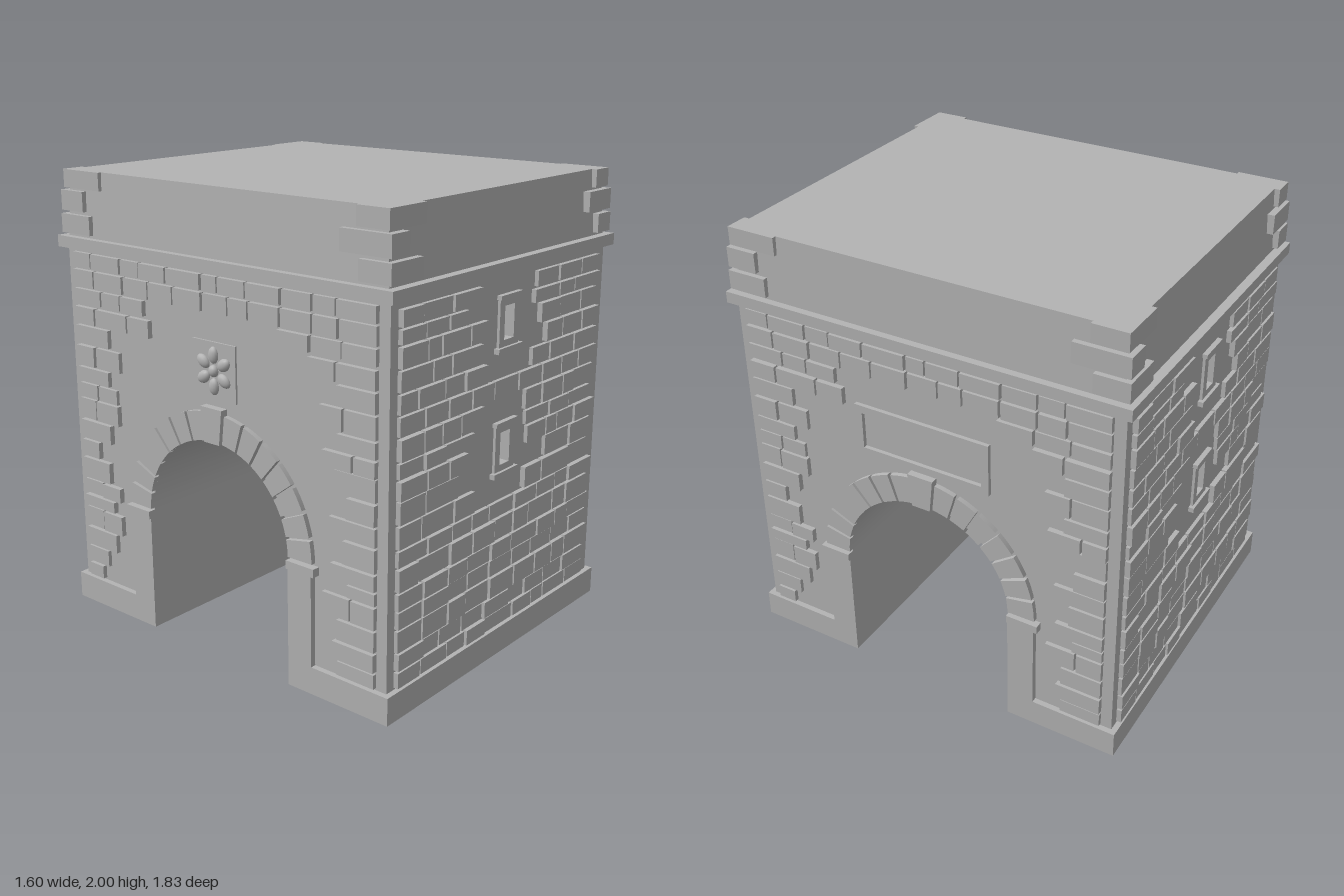
import * as THREE from 'three';
import { mergeGeometries } from 'three/addons/utils/BufferGeometryUtils.js';

const stone = new THREE.MeshStandardMaterial({ color: 0xb3b3b3 });
stone.name = 'grey stone';

const WX = 0.765, WZ = 0.885;          // half sizes of the walls
const R = 0.4, SPRING = 0.56;          // passage radius and spring line

let seed = 7;
const rand = () => (seed = (seed * 16807) % 2147483647) / 2147483647;

// box from its corner ranges
function slab(x0, x1, y0, y1, z0, z1) {
  return new THREE.BoxGeometry(x1 - x0, y1 - y0, z1 - z0)
    .translate((x0 + x1) / 2, (y0 + y1) / 2, (z0 + z1) / 2);
}

function add(parent, name, geos) {
  const mesh = new THREE.Mesh(Array.isArray(geos) ? mergeGeometries(geos) : geos, stone);
  mesh.name = name;
  parent.add(mesh);
  return mesh;
}

function rectPath(Kind, x0, x1, y0, y1) {
  const p = new Kind();
  p.moveTo(x0, y0).lineTo(x1, y0).lineTo(x1, y1).lineTo(x0, y1).closePath();
  return p;
}

function extrude(shape, depth, z) {
  return new THREE.ExtrudeGeometry(shape, { depth, bevelEnabled: false, curveSegments: 40 }).translate(0, 0, z);
}

// rectangular frame with an open middle
function frame(x0, x1, y0, y1, ix, iy0, iy1, z0, z1) {
  const s = rectPath(THREE.Shape, x0, x1, y0, y1);
  s.holes.push(rectPath(THREE.Path, -ix, ix, iy0, iy1));
  return extrude(s, z1 - z0, z0);
}

// a run of stones between a and b in one course
function course(list, a, b, y0, y1, wall) {
  const n = Math.max(1, Math.round((b - a) / 0.155));
  const w = (b - a) / n;
  let x = a;
  for (let i = 1; i <= n; i++) {
    const end = i === n ? b : a + w * (i + (rand() - 0.5) * 0.45);
    list.push(slab(x, end - (i === n ? 0 : 0.01), y0, y1, wall - 0.01, wall + 0.015 + rand() * 0.01));
    x = end;
  }
}

// courses: bottom, top, end of left run, start of right run, right end
const FRONT = [
  [1.57, 1.635, -0.21, 0.2, 0.7], [1.505, 1.56, -0.295, 0.18, 0.715], [1.415, 1.495, -0.165, 0.23, 0.685],
  [1.325, 1.405, -0.19, 0.28, 0.715], [1.24, 1.315, -0.16, 0.18, 0.7], [1.155, 1.23, 0, 0, 0.715],
  [1.06, 1.145, -0.17, 0.14, 0.7], [0.99, 1.05, -0.23, 0.15, 0.68], [0.905, 0.98, -0.28, 0.165, 0.72],
  [0.81, 0.9, -0.34, 0.315, 0.685], [0.71, 0.8, -0.22, 0.15, 0.68], [0.635, 0.7, 0, 0, 0.72],
  [0.535, 0.625, 0, 0, 0.685], [0.455, 0.525, 0, 0, 0.72], [0.38, 0.45, 0, 0, 0.7],
  [0.28, 0.37, 0, 0, 0.715], [0.205, 0.275, 0, 0, 0.68], [0.13, 0.195, 0, 0, 0.7]];
const SIDE = [
  [1.585, 1.65, 0, 0], [1.5, 1.575, 0, 0], [1.425, 1.49, -0.405, 0.355], [1.335, 1.41, -0.37, 0.51],
  [1.245, 1.325, -0.635, 0.65], [1.145, 1.235, -0.57, 0.565], [1.07, 1.135, -0.645, 0.65],
  [0.995, 1.06, -0.6, 0.58], [0.9, 0.99, -0.59, 0.635], [0.805, 0.89, -0.645, 0.7],
  [0.72, 0.795, -0.73, 0.61], [0.615, 0.71, -0.665, 0.68], [0.54, 0.605, -0.6, 0.62],
  [0.48, 0.53, -0.645, 0.7], [0.38, 0.47, -0.6, 0.575], [0.285, 0.37, -0.645, 0.65],
  [0.2, 0.275, -0.71, 0.63], [0.13, 0.19, -0.75, 0.65]];

function masonry(rows, left, wall) {
  const list = [];
  for (const [y0, y1, l, r, right = 0.835] of rows) {
    if (l === r) course(list, left, right, y0, y1, wall);
    else {
      course(list, left, l, y0, y1, wall);
      course(list, r, right, y0, y1, wall);
    }
  }
  return list;
}

// windowed face, built facing +z
function windowFace() {
  const g = new THREE.Group();
  const wall = rectPath(THREE.Shape, -WX, WX, 0, 1.69);
  for (const y of [0.86, 1.39]) wall.holes.push(rectPath(THREE.Path, -0.035, 0.035, y, y + 0.14));
  add(g, 'windowWall', extrude(wall, 0.04, WZ - 0.04));
  add(g, 'wallStones', masonry(FRONT, -0.72, WZ));
  for (const y of [0.86, 1.39]) {
    add(g, 'windowFrame', frame(-0.07, 0.07, y - 0.03, y + 0.17, 0.035, y, y + 0.14, WZ - 0.005, WZ + 0.012));
    add(g, 'windowLintel', slab(-0.078, 0.078, y + 0.17, y + 0.187, WZ - 0.01, WZ + 0.022));
    add(g, 'windowSill', slab(-0.088, 0.088, y - 0.05, y - 0.028, WZ - 0.01, WZ + 0.025));
  }
  return g;
}

// wedge-shaped arch stone between two angles
function wedge(a0, a1, r0, r1, z0, z1) {
  const s = new THREE.Shape();
  s.absarc(0, SPRING, r1, a0, a1, false);
  s.absarc(0, SPRING, r0, a1, a0, true);
  s.closePath();
  return new THREE.ExtrudeGeometry(s, { depth: z1 - z0, bevelEnabled: false, curveSegments: 5 }).translate(0, 0, z0);
}

// arched face, built facing +z
function archFace(withFlower) {
  const g = new THREE.Group();
  add(g, 'wallStones', masonry(SIDE, -0.84, WX));
  const ring = [], step = THREE.MathUtils.degToRad(12), gap = 0.014;
  for (let i = 0; i < 7; i++) {
    const a = i * step + gap, b = (i + 1) * step - gap;
    ring.push(wedge(a, b, R, 0.525, WX - 0.01, 0.787));
    ring.push(wedge(Math.PI - b, Math.PI - a, R, 0.525, WX - 0.01, 0.787));
  }
  add(g, 'archStones', ring);
  const key = new THREE.Shape();
  key.moveTo(-0.043, 0.957).lineTo(0.043, 0.957).lineTo(0.06, 1.108).lineTo(-0.06, 1.108).closePath();
  add(g, 'keystone', extrude(key, 0.045, WX - 0.01));
  if (!withFlower) {
    add(g, 'panelFrame', frame(-0.315, 0.315, 1.12, 1.355, 0.28, 1.155, 1.32, WX - 0.005, WX + 0.018));
    return g;
  }
  // square plaque with a six-petalled flower
  add(g, 'flowerPlaque', slab(-0.12, 0.12, 1.14, 1.38, WX - 0.005, WX + 0.009));
  const petals = [new THREE.SphereGeometry(0.025, 16, 10).scale(1, 1, 0.8).translate(0, 1.26, WX + 0.01)];
  for (let i = 0; i < 6; i++) {
    petals.push(new THREE.SphereGeometry(1, 14, 8).scale(0.026, 0.036, 0.018)
      .translate(0, 0.066, 0).rotateZ(i * Math.PI / 3).translate(0, 1.26, WX + 0.009));
  }
  add(g, 'flower', petals);
  return g;
}

export function createModel() {
  const model = new THREE.Group();
  model.name = 'gatehouse';

  // core with the arched passage running along x
  const zc = WZ - 0.04;
  const profile = new THREE.Shape();
  profile.moveTo(-zc, 0).lineTo(-R, 0).lineTo(-R, SPRING);
  profile.absarc(0, SPRING, R, Math.PI, 0, true);
  profile.lineTo(R, 0).lineTo(zc, 0).lineTo(zc, 1.69).lineTo(-zc, 1.69).closePath();
  add(model, 'passageCore', extrude(profile, WX * 2, -WX).rotateY(Math.PI / 2));

  // plinths, pilasters and imposts on both sides of the passage
  for (const s of [-1, 1]) {
    const range = (x, y0, y1, a, b) => slab(-x, x, y0, y1, Math.min(s * a, s * b), Math.max(s * a, s * b));
    add(model, 'plinth', range(0.79, 0, 0.12, R, 0.91));
    add(model, 'pilaster', range(0.79, 0, 0.525, R, 0.523));
    add(model, 'impost', range(0.8, 0.52, 0.556, R, 0.545));
  }

  // decorated faces
  for (let i = 0; i < 4; i++) {
    seed = 7 + 40 * (i % 2);
    const face = i % 2 ? archFace(i === 3) : windowFace();
    face.name = ['frontFace', 'leftFace', 'backFace', 'rightFace'][i];
    face.rotation.y = i * Math.PI / 2;
    model.add(face);
  }

  // cornice and slightly tapered attic
  add(model, 'cornice', slab(-0.797, 0.797, 1.665, 1.715, -0.917, 0.917));
  const attic = slab(-WX, WX, 1.71, 2, -0.877, 0.877);
  const p = attic.attributes.position;
  for (let i = 0; i < p.count; i++) {
    if (p.getY(i) > 1.9) p.setXYZ(i, Math.sign(p.getX(i)) * 0.753, 2, Math.sign(p.getZ(i)) * 0.86);
  }
  attic.computeVertexNormals();
  add(model, 'attic', attic);

  // attic corner stones: bottom, top, inner x, inner z, outer x, outer z
  const corners = [
    [[1.922, 2, 0.67, 0.66, 0.772, 0.885], [1.825, 1.912, 0.6, 0.76, 0.78, 0.898], [1.728, 1.81, 0.68, 0.72, 0.783, 0.9]],
    [[1.922, 2, 0.555, 0.73, 0.772, 0.882], [1.825, 1.912, 0.675, 0.66, 0.78, 0.898], [1.728, 1.81, 0.595, 0.75, 0.783, 0.9]]];
  for (const turn of [0, Math.PI]) {
    corners.forEach((stones, c) => {
      for (const [y0, y1, ix, iz, ox, oz] of stones) {
        // two arms wrapping the corner
        const geos = c === 0
          ? [slab(ix, ox, y0, y1, 0.8, oz), slab(0.72, ox, y0, y1, iz, oz)]
          : [slab(-ox, -ix, y0, y1, 0.8, oz), slab(-ox, -0.72, y0, y1, iz, oz)];
        add(model, 'cornerStone', geos).rotation.y = turn;
      }
    });
  }
  return model;
}
